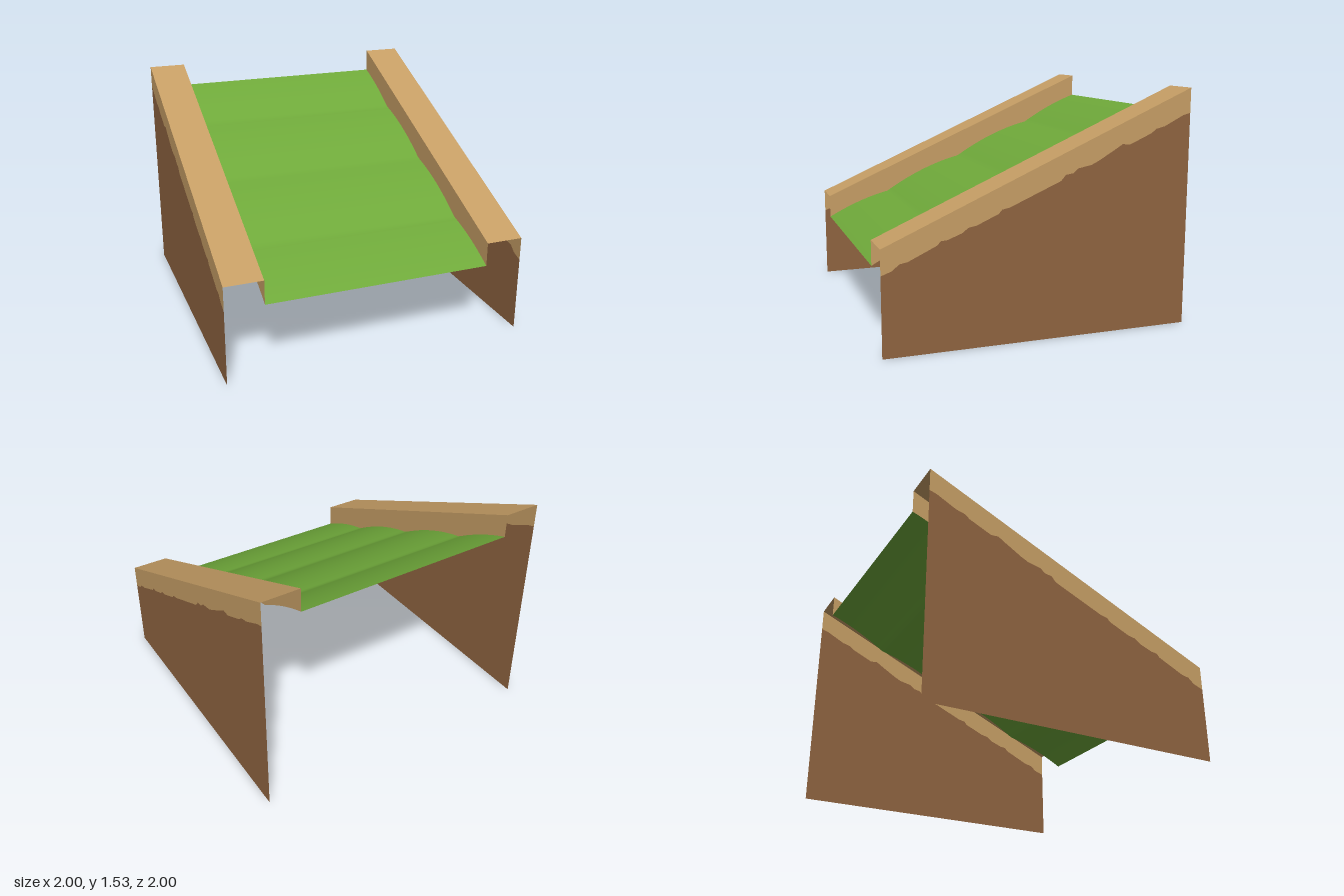
import * as THREE from 'three';

const WOOD = new THREE.MeshStandardMaterial({ name: 'tan earth', color: 0xc69e65, side: THREE.DoubleSide });
const EARTH = new THREE.MeshStandardMaterial({ name: 'brown earth', color: 0x8f6440, side: THREE.DoubleSide });
const GRASS = new THREE.MeshStandardMaterial({ name: 'green grass', color: 0x6fa93a, side: THREE.DoubleSide });

// Heights along the slope, rising towards the back
const base = z => 0.9375 - 0.4375 * z;
const rim = z => 1.095 - 0.4375 * z;

// Shallow rolls across the grass, each meeting the next in a soft crease
function grassHeight(z) {
  const t = (((0.555 - z) / 0.57) % 1 + 1) % 1;
  return base(z) + 0.03 * (4 * t * (1 - t) - 0.73);
}

// Uneven seam between the two layers of earth: [z, offset from the slope]
const seam = [
  [1, 0], [0.93, -0.005], [0.89, 0.013], [0.84, 0.0], [0.66, 0.005], [0.64, 0.02], [0.6, 0.006],
  [0.51, 0.0], [0.47, 0.013], [0.42, 0.0], [0.28, 0.0], [0.26, 0.015], [0.21, 0.003], [-0.12, 0.0],
  [-0.15, 0.022], [-0.2, 0.008], [-0.23, 0.022], [-0.32, 0.0], [-0.37, 0.002], [-0.48, 0.018],
  [-0.53, 0.027], [-0.58, 0.0], [-0.73, 0.0], [-0.76, 0.012], [-0.82, 0.0], [-0.95, 0.008], [-1, 0],
];
const seamLine = seam.map(([z, d]) => [z, base(z) + d]);

const grassLine = [];
for (let i = 0; i <= 72; i++) {
  const z = 1 - i / 36;
  grassLine.push([z, grassHeight(z)]);
}

// Strip of quads between two rows of points
function strip(a, b) {
  const index = [];
  const n = a.length;
  for (let i = 0; i < n - 1; i++) index.push(i, n + i, i + 1, n + i, n + i + 1, i + 1);
  const g = new THREE.BufferGeometry();
  g.setAttribute('position', new THREE.Float32BufferAttribute([...a, ...b].flat(), 3));
  g.setIndex(index);
  g.computeVertexNormals();
  return g;
}

export function createModel() {
  const group = new THREE.Group();
  const add = (name, geometry, material) => {
    const mesh = new THREE.Mesh(geometry, material);
    mesh.name = name;
    group.add(mesh);
  };
  // Upright sheet between a lower and an upper edge, facing the given side
  const wall = (name, x, lower, upper, material, facing) => {
    const lo = lower.map(([z, y]) => [x, y, z]);
    const hi = upper.map(([z, y]) => [x, y, z]);
    add(name, facing > 0 ? strip(hi, lo) : strip(lo, hi), material);
  };

  // Rolling grass ramp
  add('grassRamp', strip(
    grassLine.map(([z, y]) => [-0.75, y, z]),
    grassLine.map(([z, y]) => [0.75, y, z]),
  ), GRASS);

  for (const s of [1, -1]) {
    const side = s > 0 ? 'left' : 'right';
    const rimOf = line => line.map(([z]) => [z, rim(z)]);

    // Outer wall in two layers, open below and at the ends
    wall(side + 'LowerWall', s, seamLine.map(([z]) => [z, 0]), seamLine, EARTH, s);
    wall(side + 'UpperWall', s, seamLine, rimOf(seamLine), WOOD, s);

    // Inner face of the curb, following the grass
    wall(side + 'CurbInnerFace', s * 0.75, grassLine, rimOf(grassLine), WOOD, -s);

    // Sloping top of the curb
    const xs = s > 0 ? [0.75, 1] : [-1, -0.75];
    const row = x => [1, -1].map(z => [x, rim(z), z]);
    add(side + 'CurbTop', strip(row(xs[0]), row(xs[1])), WOOD);
  }
  return group;
}
